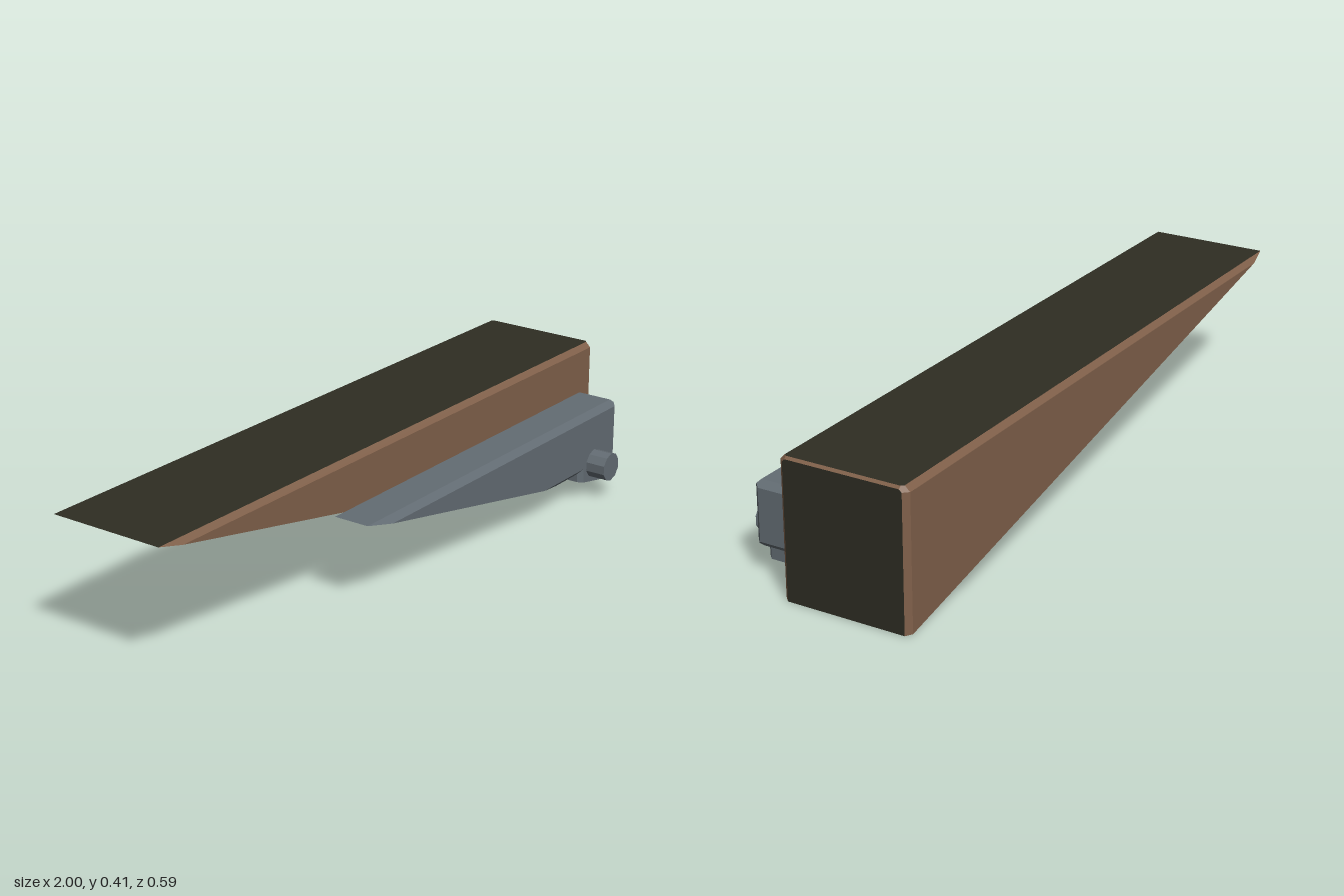
import * as THREE from 'three';

const WOOD = 0, DARK = 1;

// Flat-shaded convex solid bounded by planes { n, d, m }: n . p <= d, m = material index
function convexSolid(planes) {
  const pos = [], geo = new THREE.BufferGeometry();
  for (const f of planes) {
    const n = f.n.clone().normalize();
    const u = new THREE.Vector3(n.y, n.z, n.x).cross(n);
    if (u.lengthSq() < 1e-6) u.set(1, 0, 0).cross(n);
    u.normalize();
    const v = n.clone().cross(u);
    const c = n.clone().multiplyScalar(f.d / f.n.length());
    // start with a large square on the plane, then trim it by every other plane
    let poly = [[-9, -9], [9, -9], [9, 9], [-9, 9]].map(([a, b]) =>
      c.clone().addScaledVector(u, a).addScaledVector(v, b));
    for (const g of planes) {
      if (g === f) continue;
      const out = [];
      poly.forEach((a, i) => {
        const b = poly[(i + 1) % poly.length];
        const da = g.n.dot(a) - g.d, db = g.n.dot(b) - g.d;
        if (da <= 0) out.push(a);
        if ((da < 0 && db > 0) || (da > 0 && db < 0)) out.push(a.clone().lerp(b, da / (da - db)));
      });
      poly = out;
    }
    const start = pos.length / 3;
    for (let i = 1; i + 1 < poly.length; i++) {
      for (const p of [poly[0], poly[i], poly[i + 1]]) pos.push(p.x, p.y, p.z);
    }
    geo.addGroup(start, pos.length / 3 - start, f.m);
  }
  geo.setAttribute('position', new THREE.Float32BufferAttribute(pos, 3));
  geo.computeVertexNormals();
  return geo;
}

const plane = (x, y, z, d, m = 0) => ({ n: new THREE.Vector3(x, y, z), d, m });

// Shared sloping underside, running from the tip at upper left to the lower right
const slope = (m = 0) => plane(0.2025, 1, 0, 0.2025, -0) && plane(-0.2025, -1, 0, -0.2025, m);

// Six sides of a box
const boxPlanes = ([x0, x1], [y0, y1], [z0, z1]) => [
  plane(1, 0, 0, x1), plane(-1, 0, 0, -x0), plane(0, 1, 0, y1),
  plane(0, -1, 0, -y0), plane(0, 0, 1, z1), plane(0, 0, -1, -z0),
];

// Chamfers of size c between pairs of box sides
const chamfers = (sides, c) => sides.flatMap((a, i) => sides.slice(i + 1)
  .filter((b) => a.n.dot(b.n) === 0)
  .map((b) => ({ n: a.n.clone().add(b.n), d: a.d + b.d - c, m: 0 })));

export function createModel() {
  const model = new THREE.Group();
  const make = (name, color) => {
    const m = new THREE.MeshStandardMaterial({ color });
    m.name = name;
    return m;
  };
  const wood = make('brown', 0x80604a);
  const dark = make('dark olive', 0x2e2d23);
  const steel = make('steel grey', 0x636c73);
  const add = (name, geo, mat) => {
    const mesh = new THREE.Mesh(geo, mat);
    mesh.name = name;
    model.add(mesh);
  };

  // Wedge body: brown sides and chamfers, dark top, end and underside
  const [z0, z1] = [-0.295, 0.09];
  const body = [
    plane(1, 0, 0, 1, DARK), plane(0, 1, 0, 0.405, DARK), slope(DARK),
    plane(0, 0, 1, z1, WOOD), plane(0, 0, -1, -z0, WOOD),
    plane(1, 1, 0, 1.405 - 0.007, WOOD),
  ];
  for (const [s, z] of [[1, z1], [-1, -z0]]) {
    body.push(plane(0, 1, s, 0.405 + z - 0.015, WOOD));
    body.push(plane(1, 0, s, 1 + z - 0.015, WOOD));
    body.push(plane(1, 1, s, 1.405 + z - 0.0295, WOOD));
  }
  add('wedgeBody', convexSolid(body), [wood, dark]);

  // Side housing, chamfered all round and trimmed by the same slope
  const housing = boxPlanes([-0.6, 0.92], [0.08, 0.27], [0.09, 0.235]);
  add('sideHousing', convexSolid([...housing, ...chamfers(housing, 0.018), slope()]), [steel]);

  // Short foot under the housing, with chamfered upright edges
  const foot = boxPlanes([0.72, 0.87], [-0.1, 0.12], [0.09, 0.235]);
  const uprights = foot.filter((p) => p.n.y === 0);
  add('foot', convexSolid([...foot, ...chamfers(uprights, 0.014), slope()]), [steel]);

  // Ten-sided knob
  const knob = new THREE.CylinderGeometry(0.0435, 0.0435, 0.097, 10).toNonIndexed();
  knob.rotateX(Math.PI / 2).translate(0.79, 0.102, 0.2485);
  knob.computeVertexNormals();
  add('knob', knob, steel);

  return model;
}
